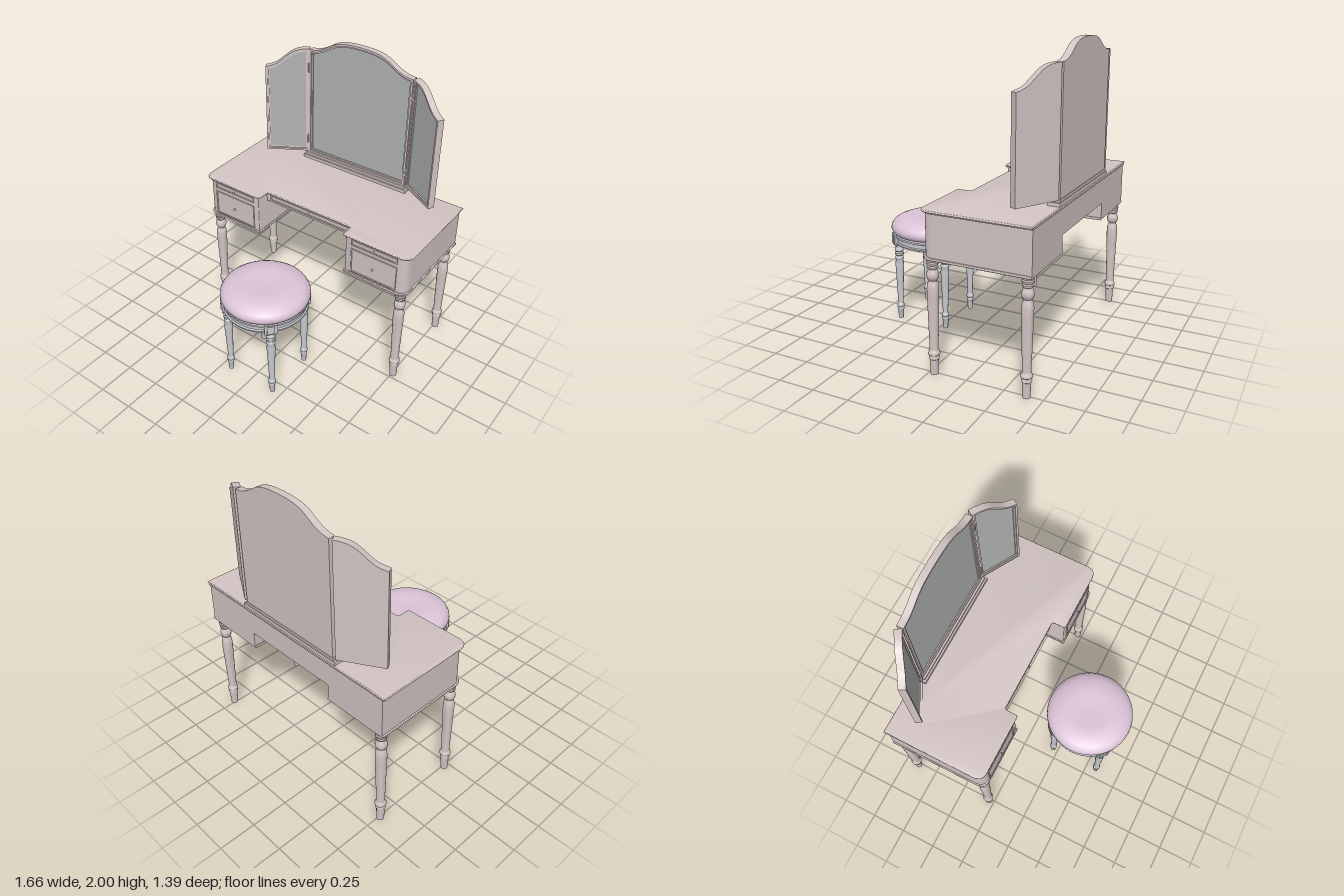
import * as THREE from 'three';
import { toCreasedNormals } from 'three/addons/utils/BufferGeometryUtils.js';

const mat = (color) => new THREE.MeshStandardMaterial({ color });
const wood = mat(0xd2c4c3), glass = mat(0xb0b3b2), greyWood = mat(0xc6c8cd), fabric = mat(0xdcc4d8);

function add(parent, name, geo, material, x = 0, y = 0, z = 0) {
  const m = new THREE.Mesh(geo, material);
  m.name = name;
  m.position.set(x, y, z);
  parent.add(m);
  return m;
}

const box = (parent, name, material, w, h, d, x, y, z) =>
  add(parent, name, new THREE.BoxGeometry(w, h, d), material, x, y, z);

const lathe = (pts, seg = 24) =>
  toCreasedNormals(new THREE.LatheGeometry(pts.map(p => new THREE.Vector2(...p)), seg), 0.7);

// Plan outline from [x, z, cornerRadius] points
function plan(points) {
  const s = new THREE.Shape(), n = points.length;
  points.forEach(([x, z, r], i) => {
    const p = new THREE.Vector2(x, -z);
    const toward = (q) => {
      const v = new THREE.Vector2(q[0], -q[1]).sub(p).setLength(r || 0);
      return v.add(p);
    };
    const a = toward(points[(i + n - 1) % n]), b = toward(points[(i + 1) % n]);
    if (i === 0) s.moveTo(a.x, a.y); else s.lineTo(a.x, a.y);
    if (r) s.quadraticCurveTo(p.x, p.y, b.x, b.y);
  });
  s.closePath();
  return s;
}

// Horizontal slab of a plan outline between two heights
function slab(points, y0, y1, bevel = 0) {
  const g = new THREE.ExtrudeGeometry(plan(points), {
    depth: y1 - y0 - 2 * bevel, curveSegments: 8, bevelEnabled: bevel > 0,
    bevelSize: bevel, bevelThickness: bevel, bevelOffset: -bevel, bevelSegments: 3,
  });
  g.rotateX(-Math.PI / 2).translate(0, y0 + bevel, 0);
  return toCreasedNormals(g, 0.6);
}

const rectPath = (w, h) => new THREE.Shape([[-w, -h], [w, -h], [w, h], [-w, h]]
  .map(([x, y]) => new THREE.Vector2(x / 2, y / 2)));

const KNOB = [[0, 0], [0.004, 0], [0.004, 0.006], [0.009, 0.009], [0.01, 0.013], [0.006, 0.017], [0, 0.018]];

// Drawer front with raised border and round knob
function drawer(parent, name, x0, x1, y0, y1, z) {
  const g = new THREE.Group(), w = x1 - x0, h = y1 - y0, b = 0.011;
  g.name = name;
  g.position.set((x0 + x1) / 2, (y0 + y1) / 2, z);
  const rim = rectPath(w, h);
  rim.holes.push(rectPath(w - 2 * b, h - 2 * b));
  add(g, 'drawerBorder', new THREE.ExtrudeGeometry(rim, {
    depth: 0.005, bevelEnabled: true, bevelSize: 0.003, bevelThickness: 0.003, bevelOffset: -0.003, bevelSegments: 2,
  }), wood);
  box(g, 'drawerPanel', wood, w - 2 * b, h - 2 * b, 0.004, 0, 0, 0.001);
  add(g, 'drawerKnob', lathe(KNOB, 16).rotateX(Math.PI / 2), wood, 0, 0, 0.002);
  parent.add(g);
}

// Turned leg profiles [radius, height]
const TABLE_LEG = [[0, 0], [0.024, 0], [0.027, 0.1], [0.032, 0.104], [0.033, 0.112], [0.029, 0.12], [0.029, 0.127],
  [0.036, 0.132], [0.037, 0.141], [0.034, 0.15], [0.028, 0.157], [0.027, 0.17], [0.036, 0.5], [0.037, 0.56],
  [0.033, 0.59], [0.025, 0.605], [0.025, 0.612], [0.034, 0.622], [0.038, 0.64], [0.038, 0.655], [0.03, 0.672],
  [0.026, 0.682], [0.034, 0.69], [0.035, 0.7], [0.03, 0.707], [0.037, 0.714], [0.038, 0.725], [0.033, 0.732],
  [0.037, 0.738], [0.038, 0.756], [0, 0.756]];
const STOOL_LEG = [[0, 0], [0.017, 0], [0.02, 0.065], [0.024, 0.07], [0.024, 0.08], [0.02, 0.086], [0.025, 0.094],
  [0.025, 0.104], [0.019, 0.112], [0.018, 0.125], [0.028, 0.37], [0.029, 0.41], [0.025, 0.44], [0.029, 0.447],
  [0.029, 0.46], [0.023, 0.468], [0.03, 0.476], [0.03, 0.49], [0.023, 0.497], [0.03, 0.505], [0.03, 0.518],
  [0.025, 0.525], [0.027, 0.55], [0, 0.55]];

// Mirror panel from x = 0 to L*s, with a curved top given by top(t)
function mirrorPanel(name, xa, xb, top) {
  const g = new THREE.Group(), y0 = 1.095, N = 32;
  g.name = name;
  const dir = Math.sign(xb - xa);
  const outline = (inset) => {
    const a = xa + dir * inset, b = xb - dir * inset;
    const pts = [new THREE.Vector2(a, y0 + inset), new THREE.Vector2(b, y0 + inset)];
    for (let i = N; i >= 0; i--) {
      const x = a + (b - a) * i / N;
      pts.push(new THREE.Vector2(x, top((x - xa) / (xb - xa)) - inset));
    }
    return pts;
  };
  const layer = (part, outer, inner, z, depth, material) => {
    const s = new THREE.Shape(outline(outer));
    if (inner) s.holes.push(new THREE.Path(outline(inner)));
    const geo = new THREE.ExtrudeGeometry(s, { depth, bevelEnabled: false });
    add(g, part, toCreasedNormals(geo, 0.5), material, 0, 0, z);
  };
  layer('mirrorBack', 0, 0, 0, 0.026, wood);
  layer('mirrorFrame', 0, 0.014, 0.026, 0.02, wood);
  layer('mirrorInnerBead', 0.014, 0.025, 0.026, 0.012, wood);
  layer('mirrorGlass', 0.025, 0, 0.026, 0.004, glass);
  return g;
}

const curveY = (pts) => {
  const c = new THREE.SplineCurve(pts.map(p => new THREE.Vector2(...p)));
  const samples = c.getPoints(80);
  return (t) => {
    const i = Math.max(1, samples.findIndex(p => p.x >= t - 1e-6));
    const a = samples[i - 1], b = samples[i];
    return a.y + (b.y - a.y) * THREE.MathUtils.clamp((t - a.x) / (b.x - a.x), 0, 1);
  };
};

function buildTable() {
  const g = new THREE.Group();
  g.name = 'dressingTable';

  // Table top: wide upper board over a thinner moulding, with a knee recess
  const topPlan = (e) => [[-0.82 - e, -0.695], [0.82 + e, -0.695], [0.82 + e, 0.012 + e, 0.07], [0.35 - e, 0.012 + e, 0.016],
    [0.35 - e, -0.083 + e, 0.016], [-0.35 + e, -0.083 + e, 0.016], [-0.35 + e, 0.012 + e, 0.016], [-0.82 - e, 0.012 + e, 0.07]];
  add(g, 'tableTop', slab(topPlan(0.008), 1.042, 1.056, 0.005), wood);
  add(g, 'tableTopMoulding', slab(topPlan(-0.003), 1.034, 1.044), wood);

  // Centre drawer case and rear panel
  box(g, 'centreCase', wood, 0.73, 0.06, 0.6, 0, 1.005, -0.39);
  box(g, 'rearPanel', wood, 0.73, 0.17, 0.02, 0, 0.953, -0.68);
  drawer(g, 'centreDrawer', -0.325, 0.325, 0.99, 1.03, -0.09);

  for (const s of [-1, 1]) {
    const pedestal = (e) => [[s * (0.357 - e), -0.69], [s * (0.807 + e), -0.69], [s * (0.807 + e), 0.005 + e, 0.07], [s * (0.357 - e), 0.005 + e, 0.008]];
    add(g, 'pedestal', slab(pedestal(0), 0.762, 1.036), wood);
    add(g, 'pedestalBaseMoulding', slab(pedestal(0.009), 0.75, 0.766, 0.004), wood);
    const [a, b] = s > 0 ? [0.4, 0.74] : [-0.74, -0.4];
    drawer(g, 'upperDrawer', a, b, 0.987, 1.028, 0.005);
    drawer(g, 'lowerDrawer', a, b, 0.775, 0.96, 0.005);
    for (const z of [-0.037, -0.647]) add(g, 'tableLeg', lathe(TABLE_LEG), wood, s * 0.76, 0, z);
  }
  return g;
}

function buildMirror() {
  const g = new THREE.Group();
  g.name = 'tripleMirror';
  box(g, 'mirrorBaseLower', wood, 0.85, 0.024, 0.08, 0, 1.067, -0.653);
  box(g, 'mirrorBaseUpper', wood, 0.82, 0.018, 0.064, 0, 1.087, -0.657);

  // Arched centre panel
  const half = curveY([[0, 1.997], [0.2, 1.994], [0.38, 1.983], [0.52, 1.962], [0.7, 1.918], [0.85, 1.893], [1, 1.884]]);
  const centre = mirrorPanel('centreMirror', -0.4, 0.4, t => half(Math.abs(2 * t - 1)));
  centre.position.z = -0.685;
  g.add(centre);

  // Side wings swung forward on hinges
  const wingTop = curveY([[0, 1.886], [0.2, 1.88], [0.38, 1.86], [0.55, 1.82], [0.72, 1.776], [0.86, 1.755], [1, 1.742]]);
  for (const s of [-1, 1]) {
    const wing = mirrorPanel('sideMirror', 0, s * 0.308, wingTop);
    wing.position.set(s * 0.424, 0, -0.685);
    wing.rotation.y = -s * Math.PI / 6;
    g.add(wing);
    for (const y of [1.2, 1.75])
      add(g, 'mirrorHinge', new THREE.CylinderGeometry(0.006, 0.006, 0.07, 12), wood, s * 0.404, y, -0.641);
  }
  return g;
}

function buildStool() {
  const g = new THREE.Group();
  g.name = 'stool';
  g.position.z = 0.394;
  add(g, 'stoolCushion', lathe([[0, 0.625], [0.275, 0.625], [0.29, 0.637], [0.298, 0.655], [0.296, 0.675], [0.283, 0.697],
    [0.258, 0.715], [0.22, 0.73], [0.17, 0.739], [0.13, 0.74], [0.07, 0.735], [0, 0.732]], 64), fabric);
  // Hollow apron with a rim above and below
  add(g, 'stoolApron', lathe([[0.25, 0.557], [0.272, 0.557], [0.284, 0.563], [0.284, 0.572], [0.274, 0.577], [0.274, 0.603],
    [0.285, 0.608], [0.285, 0.62], [0.278, 0.628], [0.25, 0.628], [0.25, 0.557]], 64), greyWood);
  for (let i = 0; i < 4; i++) {
    const corner = new THREE.Group();
    corner.name = 'stoolCorner';
    corner.rotation.y = Math.PI / 4 + i * Math.PI / 2;
    box(corner, 'legBlock', greyWood, 0.085, 0.075, 0.06, 0, 0.588, 0.262);
    box(corner, 'legBlockFace', greyWood, 0.05, 0.06, 0.07, 0, 0.59, 0.264);
    box(corner, 'legPad', greyWood, 0.06, 0.015, 0.06, 0, 0.549, 0.257);
    add(corner, 'stoolLeg', lathe(STOOL_LEG), greyWood, 0, 0, 0.255);
    g.add(corner);
  }
  return g;
}

export function createModel() {
  const model = new THREE.Group();
  model.name = 'vanitySet';
  model.add(buildTable(), buildMirror(), buildStool());
  return model;
}
